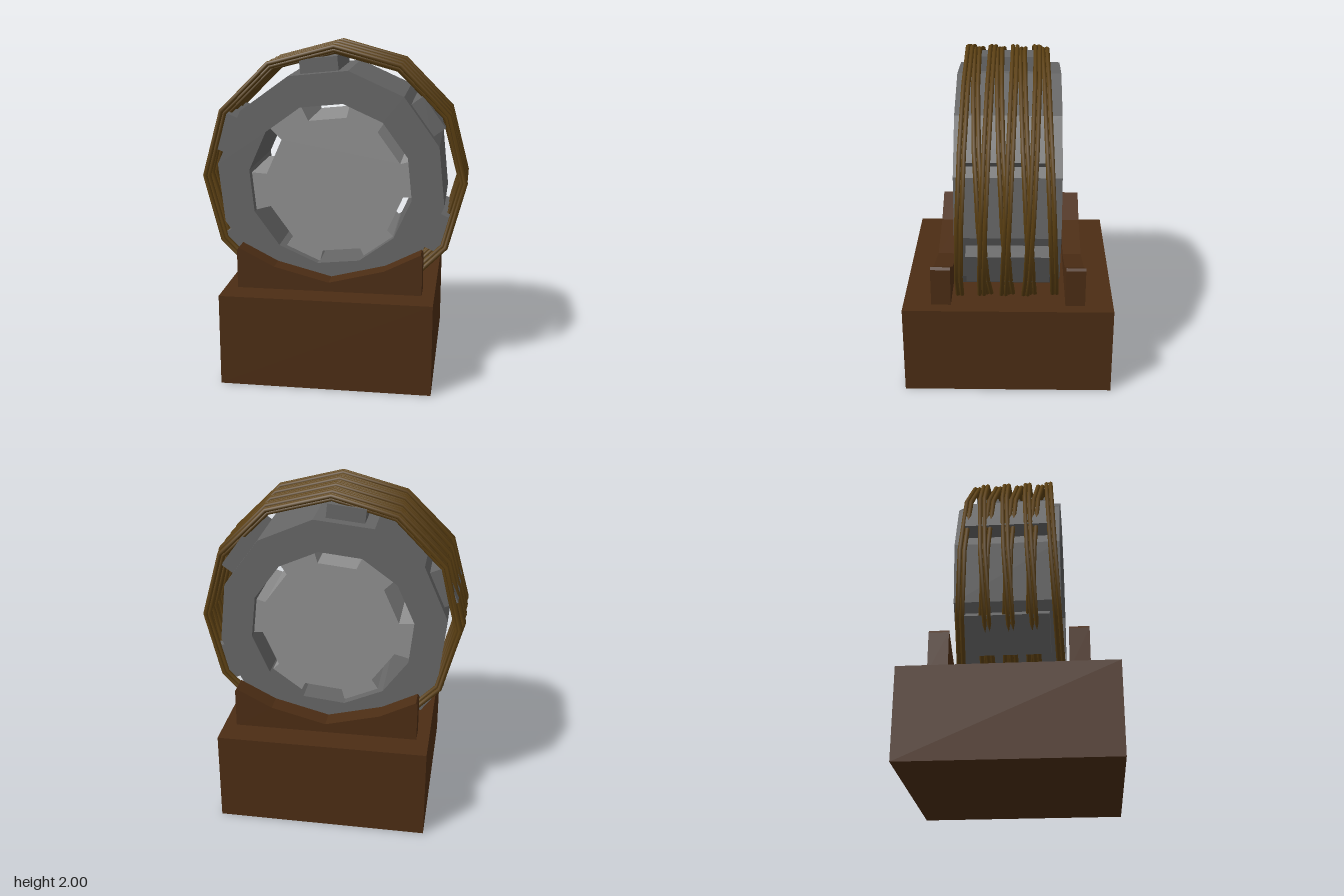
import * as THREE from 'three';

const mat = (color) => new THREE.MeshStandardMaterial({ color, flatShading: true });
const wood = mat(0x4c2d14), iron = mat(0x666666), core = mat(0x909090);
const rope = new THREE.MeshStandardMaterial({ color: 0x5c4012 });

const CX = -0.015, CY = 1.17; // drum centre
const rad = THREE.MathUtils.degToRad;
const polar = (r, deg) => new THREE.Vector2(r * Math.cos(rad(deg)), r * Math.sin(rad(deg)));
const polygon = (r) => Array.from({ length: 12 }, (_, i) => polar(r, 81 + 30 * i));

function add(parent, name, geometry, material, x = 0, y = 0, z = 0) {
  const mesh = new THREE.Mesh(geometry, material);
  mesh.name = name;
  mesh.position.set(x, y, z);
  parent.add(mesh);
  return mesh;
}

function extrude(shape, depth) {
  return new THREE.ExtrudeGeometry(shape, { depth, bevelEnabled: false }).translate(0, 0, -depth / 2);
}

// Loop of three thin strands, leaning forward or back
function addLoop(parent, radius, z, tilt) {
  const loop = new THREE.Group();
  loop.name = 'ropeLoop';
  loop.position.set(0, 1.2, z);
  loop.rotation.x = tilt;
  for (const [dr, dz] of [[0, 0.013], [0, -0.013], [-0.02, 0]]) {
    add(loop, 'strand', new THREE.TorusGeometry(radius + dr, 0.014, 6, 12), rope, 0, 0, dz);
  }
  parent.add(loop);
}

export function createModel() {
  const model = new THREE.Group();
  model.name = 'ropeDrum';

  // Base block
  add(model, 'base', new THREE.BoxGeometry(1.26, 0.555, 1.26), wood, 0, 0.2775, 0);

  // Cradles in front of and behind the drum
  const cradle = new THREE.Shape([[-0.555, 0.54], [0.555, 0.54], [0.555, 0.79], [0.545, 0.805], [0.33, 0.695],
    [0, 0.61], [-0.33, 0.695], [-0.545, 0.805], [-0.555, 0.79]].map(([x, y]) => new THREE.Vector2(x, y)));
  for (const s of [1, -1]) add(model, s > 0 ? 'frontCradle' : 'backCradle', extrude(cradle, 0.118), wood, 0, 0, s * 0.402);

  // Drum ring
  const drum = new THREE.Group();
  drum.name = 'drum';
  drum.position.set(CX, CY, 0);
  model.add(drum);
  const ring = new THREE.Shape(polygon(0.693));
  ring.holes.push(new THREE.Path(polygon(0.497).reverse()));
  add(drum, 'drumRing', extrude(ring, 0.61), iron);

  // Notched core, a little off centre, and blocks around the ring
  const outline = [];
  for (let i = 0; i < 6; i++) {
    const a = 96 + 60 * i;
    outline.push(polar(0.42, a - 16), polar(0.42, a + 16), polar(0.54, a + 17), polar(0.54, a + 43));
    const p = polar(0.705, a);
    add(drum, 'drumBlock', new THREE.BoxGeometry(0.1, 0.23, 0.48), iron, p.x, p.y, 0).rotation.z = rad(a);
  }
  add(drum, 'drumCore', extrude(new THREE.Shape(outline), 0.5), core, 0.02, -0.013, 0);

  // Rope wound in four pairs of loops leaning apart towards the bottom
  const winding = new THREE.Group();
  winding.name = 'winding';
  model.add(winding);
  for (let i = 0; i < 4; i++) {
    addLoop(winding, 0.788, 0.267 - 0.133 * i, -0.044);
    addLoop(winding, 0.774, 0.15 - 0.133 * i, 0.05);
  }
  return model;
}
